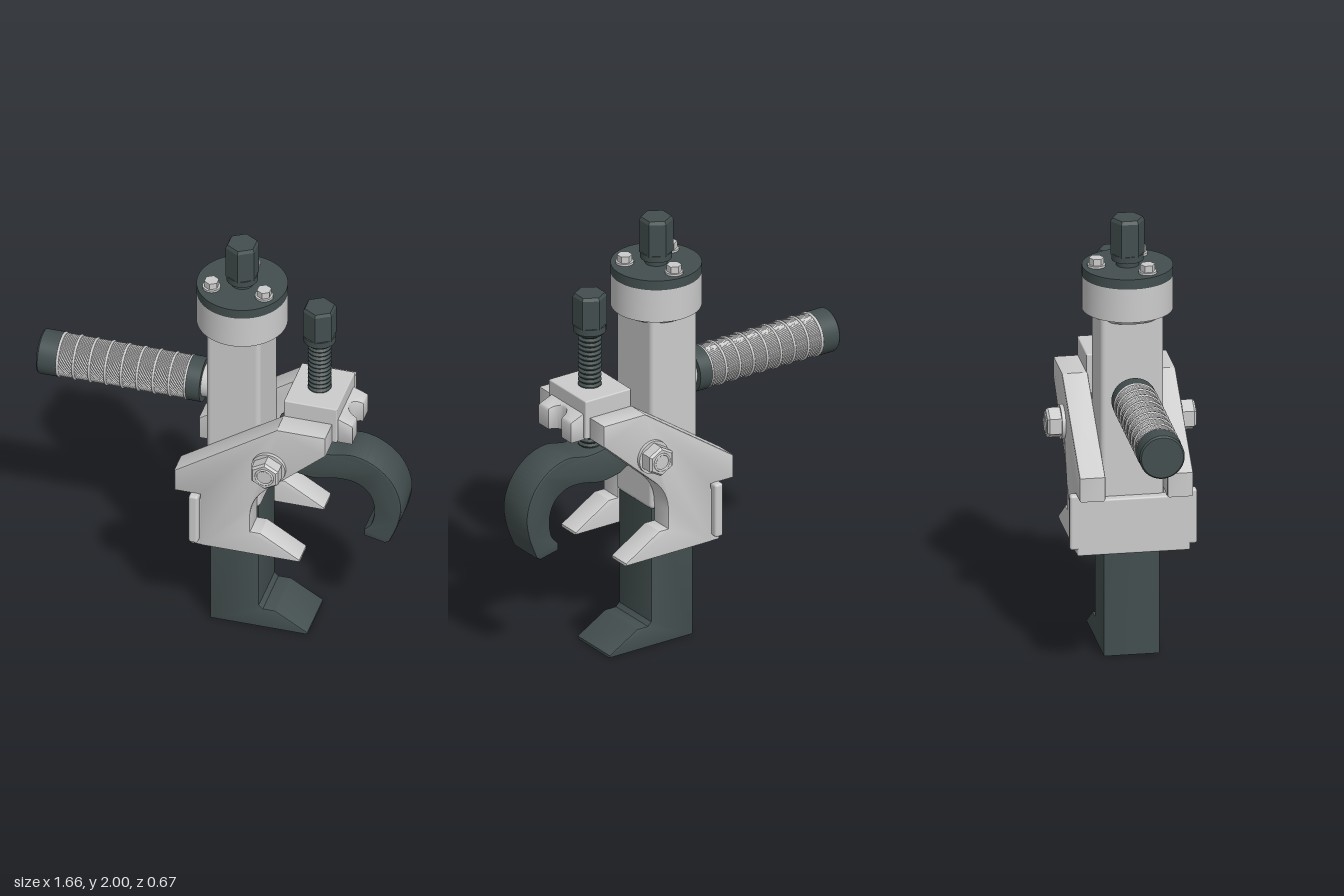
import * as THREE from 'three';
import { toCreasedNormals } from 'three/addons/utils/BufferGeometryUtils.js';
import { RoundedBoxGeometry } from 'three/addons/geometries/RoundedBoxGeometry.js';

const grey = new THREE.MeshStandardMaterial({ color: 0xcccccc });
const dark = new THREE.MeshStandardMaterial({ color: 0x434e4e });
const knurled = new THREE.MeshStandardMaterial({ color: 0xcccccc, flatShading: true });

export function createModel() {
  const model = new THREE.Group();

  const add = (name, geo, mat, x = 0, y = 0, z = 0, parent = model) => {
    const mesh = new THREE.Mesh(geo, mat);
    mesh.name = name;
    mesh.position.set(x, y, z);
    parent.add(mesh);
    return mesh;
  };
  const box = (name, mat, x0, x1, y0, y1, z0, z1, r = 0.01) =>
    add(name, new RoundedBoxGeometry(x1 - x0, y1 - y0, z1 - z0, 3, r), mat,
      (x0 + x1) / 2, (y0 + y1) / 2, (z0 + z1) / 2);
  // Upright cylinder or prism between two heights
  const post = (name, mat, x, z, y0, y1, r, sides = 40, rTop = r, parent = model) =>
    add(name, toCreasedNormals(new THREE.CylinderGeometry(rTop, r, y1 - y0, sides), 0.5),
      mat, x, (y0 + y1) / 2, z, parent);
  // Outline in x,y extruded symmetrically about z = 0 with a small bevel
  const slab = (shape, depth, b = 0.01) => {
    const geo = new THREE.ExtrudeGeometry(shape, {
      depth: depth - 2 * b, bevelThickness: b, bevelSize: b, bevelOffset: -b,
      bevelSegments: 2, curveSegments: 10,
    });
    geo.translate(0, 0, b - depth / 2);
    return toCreasedNormals(geo, 0.55);
  };
  const outline = (pts) => new THREE.Shape(pts.map((p) => new THREE.Vector2(...p)));
  const thread = (name, x, y0, y1, r, pitch) => {
    const pts = [new THREE.Vector2(0, y0)];
    const n = Math.round((y1 - y0) / pitch);
    for (let i = 0; i < n; i++) {
      const y = y0 + i * pitch;
      pts.push(new THREE.Vector2(r * 0.78, y), new THREE.Vector2(r, y + pitch * 0.4),
        new THREE.Vector2(r, y + pitch * 0.6));
    }
    pts.push(new THREE.Vector2(r * 0.78, y1), new THREE.Vector2(0, y1));
    return add(name, toCreasedNormals(new THREE.LatheGeometry(pts, 28), 0.5), dark, x, 0, 0);
  };

  // Sliding jaw inside the column, with a wedge foot
  add('slidingJaw', slab(outline([[-0.03, 0], [0.412, 0], [0.412, 0.012], [0.265, 0.1],
    [0.21, 0.1], [0.192, 0.118], [0.192, 0.8], [-0.03, 0.8]]), 0.25, 0.005), dark);

  // Column with collar and cap
  box('column', grey, -0.045, 0.2, 0.66, 1.6, -0.14, 0.14, 0.022);
  post('collarFlare', grey, 0.08, 0, 1.555, 1.585, 0.155, 48, 0.188);
  post('collar', grey, 0.08, 0, 1.58, 1.735, 0.2, 64);
  post('capDisc', dark, 0.08, 0, 1.735, 1.78, 0.2, 64);
  for (let i = 0; i < 3; i++) {
    const a = -Math.PI / 2 + (i * Math.PI * 2) / 3;
    const x = 0.08 + 0.138 * Math.cos(a), z = 0.138 * Math.sin(a);
    post('capBoltWasher', grey, x, z, 1.78, 1.79, 0.04, 24);
    post('capBolt', grey, x, z, 1.785, 1.82, 0.033, 6);
  }

  // Main drive screw
  post('driveScrewNeck', dark, 0.08, 0, 1.78, 1.82, 0.05, 24);
  post('driveScrewFlange', dark, 0.08, 0, 1.805, 1.835, 0.07, 32);
  post('driveScrewHead', dark, 0.08, 0, 1.83, 1.985, 0.075, 6);
  post('driveScrewTip', dark, 0.08, 0, 1.985, 2, 0.075, 6, 0.067);

  // Cheek plates: slanted arm above, wedge prong below
  const cheek = new THREE.Shape();
  cheek.moveTo(-0.157, 0.88);
  cheek.lineTo(0.31, 1.2);
  cheek.lineTo(0.53, 1.2);
  cheek.lineTo(0.53, 1.1);
  cheek.lineTo(0.27, 0.865);
  cheek.quadraticCurveTo(0.19, 0.8, 0.188, 0.7);
  cheek.lineTo(0.188, 0.615);
  cheek.lineTo(0.235, 0.615);
  cheek.lineTo(0.412, 0.505);
  cheek.lineTo(0.412, 0.492);
  cheek.lineTo(-0.04, 0.492);
  cheek.lineTo(-0.04, 0.77);
  cheek.lineTo(-0.157, 0.77);
  const cheekGeo = slab(cheek, 0.115, 0.008);

  for (const s of [1, -1]) {
    add('cheekPlate', cheekGeo, grey, 0, 0, s * 0.1945);
    box('sideStrip', grey, -0.085, -0.042, 0.52, 0.775, s * 0.215 - 0.067, s * 0.215 + 0.067, 0.012);

    // Pivot bolt through the cheek and hook
    const bolt = new THREE.Group();
    bolt.name = 'pivotBolt';
    bolt.position.set(0.275, 0.99, s * 0.25);
    bolt.rotation.x = (s * Math.PI) / 2;
    model.add(bolt);
    post('boltWasher', grey, 0, 0, -0.005, 0.018, 0.077, 36, 0.077, bolt);
    post('boltHead', grey, 0, 0, 0.015, 0.07, 0.07, 6, 0.07, bolt);
    post('boltChamfer', grey, 0, 0, 0.07, 0.08, 0.07, 6, 0.06, bolt);
    const ring = add('boltRing', new THREE.TorusGeometry(0.038, 0.005, 8, 28), grey, 0, 0.08, 0, bolt);
    ring.rotation.x = Math.PI / 2;
  }
  // Back wall and pivot shaft joining the cheeks
  box('backWall', grey, -0.085, -0.03, 0.492, 0.75, -0.25, 0.25, 0.008);
  const shaft = post('pivotShaft', grey, 0.275, 0, -0.25, 0.25, 0.045);
  shaft.rotation.x = Math.PI / 2;
  shaft.position.y = 0.99;

  // Clamp block bridging the cheeks, with a notched nose
  box('clampBlock', grey, 0.31, 0.552, 1.1, 1.283, -0.143, 0.143, 0.006);
  const nose = new THREE.Shape();
  nose.moveTo(0.5, -0.125);
  nose.lineTo(0.617, -0.125);
  nose.lineTo(0.617, -0.05);
  nose.absarc(0.617, 0, 0.05, -Math.PI / 2, Math.PI / 2, true);
  nose.lineTo(0.617, 0.125);
  nose.lineTo(0.5, 0.125);
  const noseGeo = slab(nose, 0.1, 0.008).rotateX(-Math.PI / 2);
  // Slope the top of the nose down towards its tip
  const np = noseGeo.attributes.position;
  for (let i = 0; i < np.count; i++) {
    const t = (np.getX(i) - 0.5) / 0.117;
    if (np.getY(i) > 0) np.setY(i, np.getY(i) + 0.05 * (1 - t));
  }
  add('clampNose', toCreasedNormals(noseGeo, 0.55), grey, 0, 1.14, 0);

  // Clamp screw pressing on the hook
  thread('clampScrewThread', 0.432, 0.99, 1.54, 0.052, 0.022);
  post('clampScrewFlare', dark, 0.432, 0, 1.53, 1.545, 0.058, 32, 0.072);
  post('clampScrewFlange', dark, 0.432, 0, 1.545, 1.575, 0.072, 32);
  post('clampScrewHead', dark, 0.432, 0, 1.57, 1.71, 0.075, 6);
  post('clampScrewTip', dark, 0.432, 0, 1.71, 1.724, 0.075, 6, 0.067);

  // Curved hook arm
  const v = (pts) => pts.map((p) => new THREE.Vector2(...p));
  const hook = new THREE.Shape();
  hook.moveTo(0.215, 0.96);
  hook.lineTo(0.235, 1.03);
  hook.lineTo(0.3, 1.05);
  hook.splineThru(v([[0.4, 1.005], [0.5, 0.99], [0.61, 1.005], [0.71, 0.97], [0.79, 0.89],
    [0.828, 0.78], [0.815, 0.67], [0.775, 0.565]]));
  hook.lineTo(0.755, 0.553);
  hook.lineTo(0.66, 0.575);
  hook.lineTo(0.66, 0.61);
  hook.splineThru(v([[0.695, 0.655], [0.705, 0.735], [0.68, 0.81], [0.62, 0.855],
    [0.54, 0.862], [0.43, 0.843], [0.33, 0.86]]));
  hook.lineTo(0.25, 0.91);
  add('hookArm', slab(hook, 0.185, 0.01), dark);

  // Side handle, built upright in a group laid along -x
  const handle = new THREE.Group();
  handle.name = 'sideHandle';
  handle.position.set(0, 1.21, 0);
  handle.rotation.z = Math.PI / 2;
  model.add(handle);
  post('handleStub', grey, 0, 0, 0.02, 0.1, 0.075, 40, 0.075, handle);
  post('handleInnerCap', dark, 0, 0, 0.088, 0.152, 0.1, 48, 0.1, handle);
  post('handleEndCap', dark, 0, 0, 0.738, 0.824, 0.1, 48, 0.1, handle);
  post('handleEndBevel', dark, 0, 0, 0.824, 0.832, 0.1, 48, 0.093, handle);
  const cols = 72, rows = 96;
  const grip = new THREE.CylinderGeometry(0.094, 0.094, 0.59, cols, rows, true);
  const gp = grip.attributes.position;
  for (let i = 0; i < gp.count; i++) {
    // Raise every other vertex to make a diamond knurl
    const odd = (Math.floor(i / (cols + 1)) + (i % (cols + 1))) % 2;
    const k = odd ? 1.03 : 0.99;
    gp.setX(i, gp.getX(i) * k);
    gp.setZ(i, gp.getZ(i) * k);
  }
  add('handleGrip', grip, knurled, 0, 0.445, 0, handle);
  for (let i = 0; i < 9; i++) {
    const rib = add('gripRib', new THREE.TorusGeometry(0.096, 0.006, 8, 48), grey,
      0, 0.156 + i * 0.0725, 0, handle);
    rib.rotation.x = Math.PI / 2;
  }
  return model;
}
